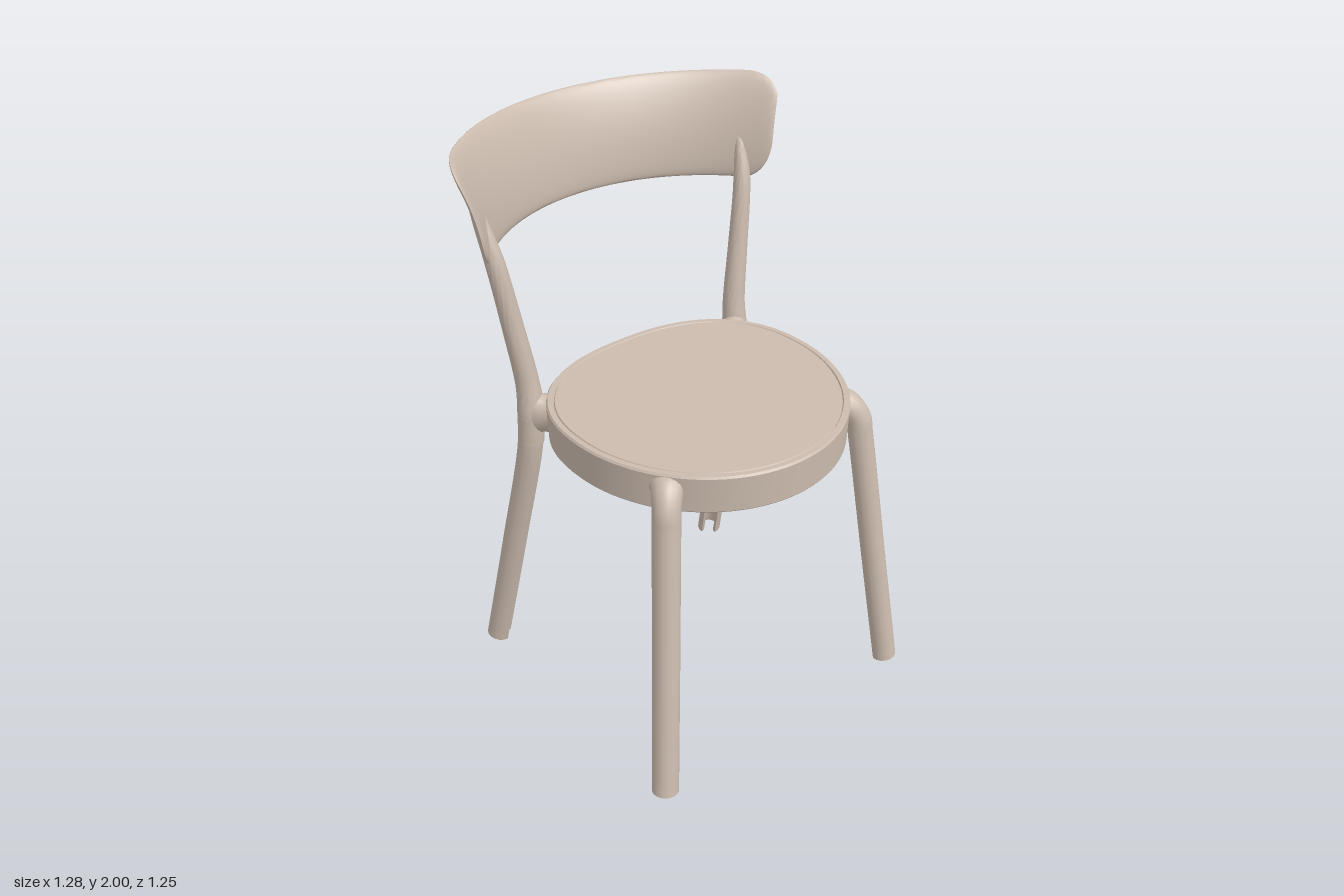
import * as THREE from 'three';
import { toCreasedNormals } from 'three/addons/utils/BufferGeometryUtils.js';

const V = (x, y, z) => new THREE.Vector3(x, y, z);
const UP = V(0, 1, 0);

// Skin a list of closed rings (even point count, counter-clockwise about the path).
// Caps are strips that join the first half of a ring to its second half.
function loft(rings, caps = true, crease = 0.75) {
  const n = rings[0].length, index = [];
  for (let i = 0; i < rings.length - 1; i++) {
    for (let j = 0; j < n; j++) {
      const a = i * n + j, b = i * n + (j + 1) % n;
      index.push(a, b, b + n, a, b + n, a + n);
    }
  }
  if (caps) {
    const top = (rings.length - 1) * n;
    for (let j = 0; j < n / 2 - 1; j++) {
      const [p, q, r, s] = [j, j + 1, n - 2 - j, n - 1 - j];
      index.push(p, r, q, p, s, r);
      index.push(top + p, top + q, top + r, top + p, top + r, top + s);
    }
  }
  const geo = new THREE.BufferGeometry().setFromPoints(rings.flat());
  geo.setIndex(index);
  return toCreasedNormals(geo, crease);
}

// Sweep a round or C-shaped section along stations [x, y, z, depthRadius, widthRadius].
// 'out' is the horizontal direction that the closed side of the section faces.
function sweep(stations, out, channel, steps = 28) {
  const curve = new THREE.CatmullRomCurve3(stations.map(s => V(s[0], s[1], s[2])), false, 'centripetal');
  const w = new THREE.Vector3().crossVectors(UP, out).normalize();
  const half = 14, open = channel ? 2.5 : Math.PI * (1 - 0.5 / half);
  const rings = [];
  for (let i = 0; i <= steps; i++) {
    const t = i / steps, f = t * (stations.length - 1);
    const k = Math.min(Math.floor(f), stations.length - 2);
    const rn = THREE.MathUtils.lerp(stations[k][3], stations[k + 1][3], f - k);
    const rw = THREE.MathUtils.lerp(stations[k][4], stations[k + 1][4], f - k);
    const c = curve.getPoint(t), n = new THREE.Vector3().crossVectors(w, curve.getTangent(t)).normalize();
    const at = (phi, s) => c.clone().addScaledVector(n, Math.cos(phi) * rn * s).addScaledVector(w, Math.sin(phi) * rw * s);
    const ring = [];
    if (channel) {
      for (let j = 0; j < half; j++) ring.push(at(-open + 2 * open * j / (half - 1), 1));
      for (let j = 0; j < half; j++) ring.push(at(open - 2 * open * j / (half - 1), 0.68));
    } else {
      for (let j = 0; j < 2 * half; j++) ring.push(at(-open + Math.PI * j / half, 1));
    }
    rings.push(ring);
  }
  return loft(rings);
}

// Seat slab: rounded outline, shallow groove near the rim
function seatGeometry() {
  const profile = [
    [0.03, 1.03], [0.022, 1.02], [0.007, 1.02], [0.004, 1.024],
    [0, 1.148], [0.005, 1.155], [0.022, 1.155], [0.025, 1.15], [0.028, 1.155],
  ];
  const n = 96;
  return loft(profile.map(([inset, y]) => {
    const ring = [];
    for (let j = 0; j < n; j++) {
      const a = (j + 0.5) / n * Math.PI * 2, c = Math.cos(a), s = Math.sin(a);
      const e = s > 0 ? 2 / 2.35 : 1; // fuller curve at the back
      const x = (0.5 - inset) * Math.sign(c) * Math.abs(c) ** e;
      const z = 0.09 - ((s > 0 ? 0.425 : 0.53) - inset) * Math.sign(s) * Math.abs(s) ** e;
      ring.push(V(x, y, z));
    }
    return ring;
  }), true, 0.5);
}

// Backrest: bowed, flared shell with rounded corners and thin edges
function backrestGeometry() {
  const y0 = 1.645, y1 = 2, rows = 28, cols = 48, rings = [];
  const corner = (d, h) => (d >= h ? 0 : 1 - Math.sqrt(1 - ((h - d) / h) ** 2));
  for (let i = 0; i <= rows; i++) {
    const v = Math.sin((i / rows - 0.5) * Math.PI), k = (v + 1) / 2;
    const y = y0 + (y1 - y0) * k;
    const r = 0.685 + 0.012 * k + 0.078 * k ** 2.3;
    const a = 1.025 - 0.15 * corner(y - y0, 0.14) - 0.15 * corner(y1 - y, 0.08);
    const at = (j, side) => {
      const u = Math.sin((0.5 - j / cols) * Math.PI);
      const t = 0.012 * Math.sqrt(Math.max(0, (1 - v ** 8) * (1 - u ** 24)));
      const R = r + side * t, th = a * u;
      return V(R * Math.sin(th), y - 0.01 * k * k * (1 - u * u), 0.15 - R * Math.cos(th));
    };
    const ring = [];
    for (let j = 0; j <= cols; j++) ring.push(at(j, 1));
    for (let j = cols; j >= 0; j--) ring.push(at(j, -1));
    rings.push(ring);
  }
  return loft(rings, false, 0.9);
}

export function createModel() {
  const model = new THREE.Group();
  model.name = 'chair';
  const plastic = new THREE.MeshStandardMaterial({ color: 0xcbbbae });
  plastic.name = 'warm beige plastic';
  const add = (name, geo) => {
    const mesh = new THREE.Mesh(geo, plastic);
    mesh.name = name;
    model.add(mesh);
  };

  add('seat', seatGeometry());
  add('backrest', backrestGeometry());

  for (const [side, sx] of [['left', 1], ['right', -1]]) {
    const mirror = list => list.map(([x, ...rest]) => [x * sx, ...rest]);
    const frontOut = V(0.67 * sx, 0, 0.74), backOut = V(0.7 * sx, 0, -0.7);

    // Front leg: hollow on the inside, bending over into the seat rim
    add(side + 'FrontLeg', sweep(mirror([
      [0.527, 0.007, 0.575, 0.046, 0.046],
      [0.473, 0.5, 0.515, 0.046, 0.046],
      [0.422, 0.98, 0.457, 0.046, 0.046],
      [0.413, 1.05, 0.447, 0.046, 0.046],
      [0.388, 1.097, 0.418, 0.048, 0.052],
      [0.36, 1.104, 0.387, 0.049, 0.066],
      [0.32, 1.104, 0.345, 0.049, 0.07],
    ]), frontOut, true, 42));

    // Back leg below the seat, hollow on the inside
    add(side + 'BackLeg', sweep(mirror([
      [0.527, 0.01, -0.437, 0.046, 0.046],
      [0.49, 0.5, -0.327, 0.046, 0.046],
      [0.457, 0.96, -0.228, 0.046, 0.046],
      [0.453, 1.08, -0.222, 0.046, 0.046],
    ]), backOut, true));

    // Back post, tapering up to the backrest
    add(side + 'BackPost', sweep(mirror([
      [0.457, 0.98, -0.225, 0.044, 0.045],
      [0.452, 1.1, -0.224, 0.046, 0.046],
      [0.453, 1.2, -0.233, 0.04, 0.04],
      [0.48, 1.4, -0.25, 0.036, 0.035],
      [0.515, 1.64, -0.275, 0.032, 0.03],
      [0.532, 1.76, -0.308, 0.025, 0.022],
      [0.539, 1.825, -0.333, 0.018, 0.016],
      [0.54, 1.835, -0.337, 0.009, 0.008],
    ]), backOut, false, 42));

    // Flared joint between seat and back post
    add(side + 'BackJoint', sweep(mirror([
      [0.34, 1.087, -0.12, 0.066, 0.085],
      [0.385, 1.087, -0.162, 0.066, 0.075],
      [0.415, 1.087, -0.19, 0.067, 0.055],
      [0.45, 1.087, -0.222, 0.08, 0.044],
    ]), backOut, false, 14));
  }
  return model;
}
